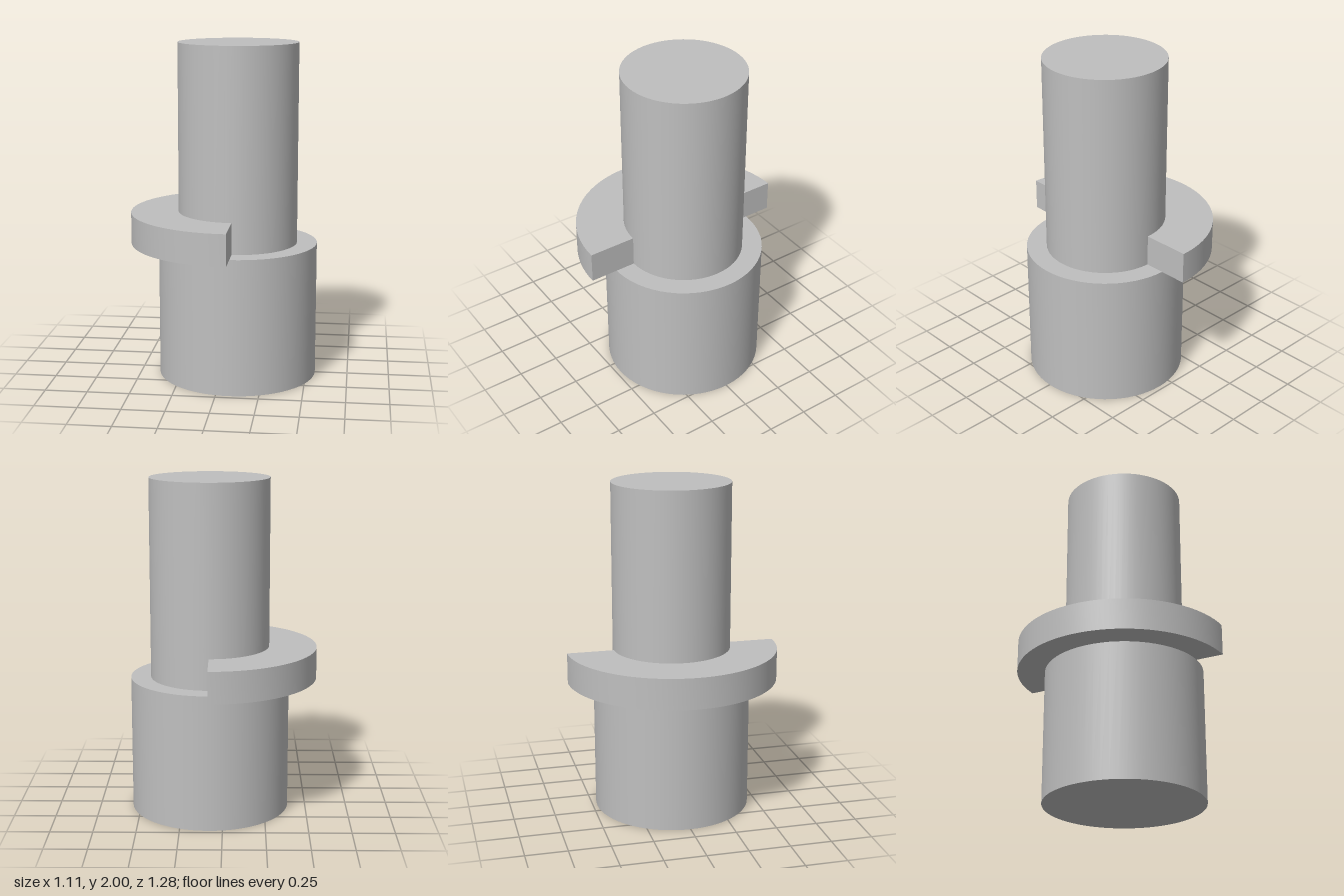
import * as THREE from 'three';
import { toCreasedNormals } from 'three/addons/utils/BufferGeometryUtils.js';

const AXIS_X = 0.08;
const BASE_R = 0.474, BASE_TOP = 0.81;
const SHAFT_R = 0.355, TOP = 2;
const COLLAR_R = 0.638, COLLAR_H = 0.187;

export function createModel() {
  const model = new THREE.Group();
  model.name = 'steppedShaft';
  const grey = new THREE.MeshStandardMaterial({ color: 0xbfbfbf });
  grey.name = 'plain grey';

  const add = (name, geometry, y) => {
    const mesh = new THREE.Mesh(geometry, grey);
    mesh.name = name;
    mesh.position.set(AXIS_X, y, 0);
    model.add(mesh);
  };
  const cylinder = (name, radius, bottom, top) =>
    add(name, new THREE.CylinderGeometry(radius, radius, top - bottom, 64), (bottom + top) / 2);

  // Wide base and narrower shaft on the same axis
  cylinder('base', BASE_R, 0, BASE_TOP);
  cylinder('shaft', SHAFT_R, BASE_TOP, TOP);

  // Half-ring collar wrapped round the right side of the shaft
  const half = new THREE.Shape();
  half.absarc(0, 0, COLLAR_R, Math.PI / 2, Math.PI * 1.5, false);
  half.absarc(0, 0, SHAFT_R, Math.PI * 1.5, Math.PI / 2, true);
  half.closePath();
  const collar = new THREE.ExtrudeGeometry(half, { depth: COLLAR_H, bevelEnabled: false, curveSegments: 32 });
  collar.rotateX(-Math.PI / 2);
  add('halfCollar', toCreasedNormals(collar, Math.PI / 6), BASE_TOP);

  return model;
}
